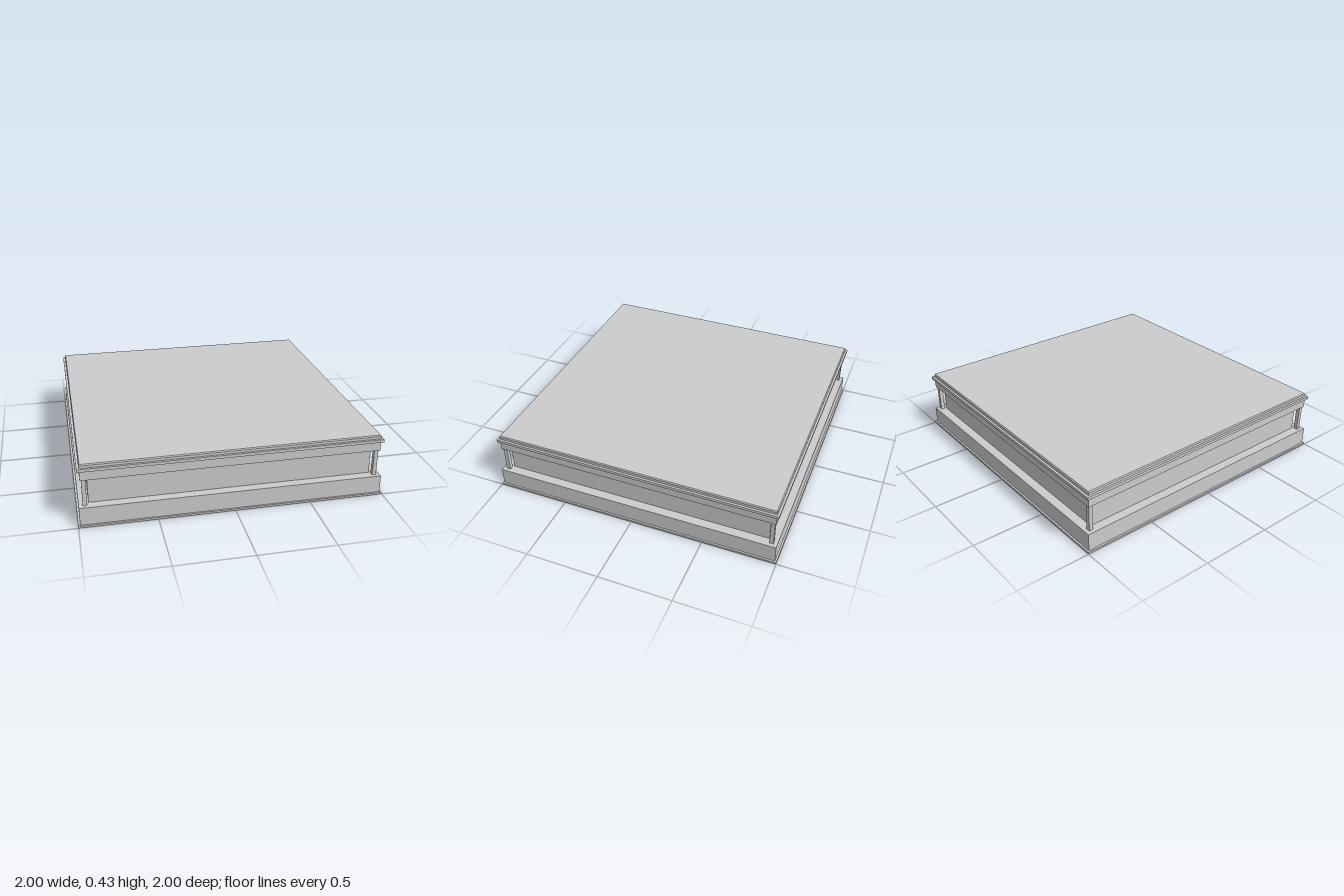
import * as THREE from 'three';

export function createModel() {
  const model = new THREE.Group();
  const material = new THREE.MeshStandardMaterial({ color: 0xcccccc, flatShading: true });

  // Square slab between two heights; the top half-width may differ for a bevel
  function slab(name, half, y0, y1, topHalf = half) {
    const geometry = new THREE.BoxGeometry(2 * half, y1 - y0, 2 * half);
    const p = geometry.attributes.position;
    for (let i = 0; i < p.count; i++) {
      if (p.getY(i) > 0) {
        p.setX(i, Math.sign(p.getX(i)) * topHalf);
        p.setZ(i, Math.sign(p.getZ(i)) * topHalf);
      }
    }
    geometry.computeVertexNormals();
    const mesh = new THREE.Mesh(geometry, material);
    mesh.name = name;
    mesh.position.y = (y0 + y1) / 2;
    model.add(mesh);
  }

  // Base
  slab('footPlate', 1, 0, 0.013);
  slab('base', 0.988, 0.013, 0.133);

  // Recessed walls
  slab('innerCore', 0.926, 0.133, 0.315);

  // Stepped roof
  slab('frieze', 0.971, 0.315, 0.38);
  slab('cornice', 0.986, 0.38, 0.4);
  slab('roofSlab', 0.971, 0.4, 0.417);
  slab('roofBevel', 0.971, 0.417, 0.425, 0.966);

  // Slim posts standing clear of the core at each corner
  const postGeometry = new THREE.BoxGeometry(0.027, 0.182, 0.027);
  for (const x of [-1, 1]) {
    for (const z of [-1, 1]) {
      const post = new THREE.Mesh(postGeometry, material);
      post.name = `${z > 0 ? 'front' : 'back'}${x > 0 ? 'Left' : 'Right'}Post`;
      post.position.set(0.949 * x, 0.224, 0.949 * z);
      model.add(post);
    }
  }

  return model;
}
